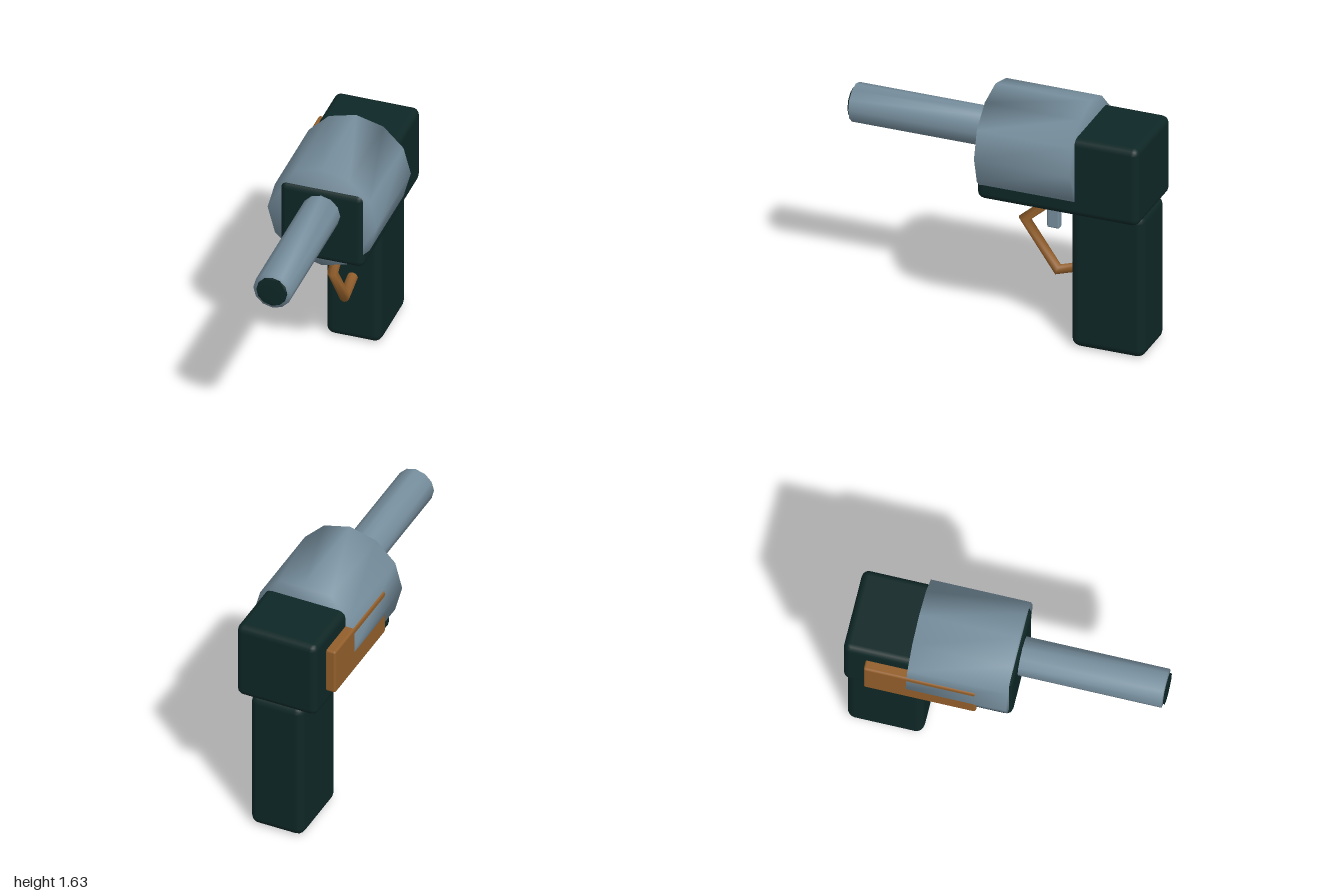
import * as THREE from 'three';
import { RoundedBoxGeometry } from 'three/addons/geometries/RoundedBoxGeometry.js';
import { mergeVertices } from 'three/addons/utils/BufferGeometryUtils.js';

const material = (name, color) => {
  const m = new THREE.MeshStandardMaterial({ color });
  m.name = name;
  return m;
};

// Share vertices so shading runs softly over every edge
function soften(geometry) {
  geometry.deleteAttribute('normal');
  geometry.deleteAttribute('uv');
  const merged = mergeVertices(geometry, 1e-4);
  merged.computeVertexNormals();
  return merged;
}

// Twelve-sided prism along z
function prism(radius, y, z0, z1) {
  const points = Array.from({ length: 12 }, (_, i) => {
    const a = (i / 12) * Math.PI * 2;
    return new THREE.Vector2(Math.cos(a) * radius, Math.sin(a) * radius);
  });
  const geometry = new THREE.ExtrudeGeometry(new THREE.Shape(points), {
    depth: z1 - z0, bevelEnabled: false,
  });
  return soften(geometry.translate(0, y, z0));
}

// Rounded box from its minimum and maximum corners
function block([x0, y0, z0], [x1, y1, z1], radius) {
  const geometry = new RoundedBoxGeometry(x1 - x0, y1 - y0, z1 - z0, 2, radius);
  return geometry.translate((x0 + x1) / 2, (y0 + y1) / 2, (z0 + z1) / 2);
}

// Round bar with mitred corners along a path of (z, y) points
function mitredBar(path, radius, halfWidth, sides = 8) {
  const pts = path.map(([z, y]) => new THREE.Vector2(z, y));
  const normals = pts.slice(1).map((p, i) => {
    const d = p.clone().sub(pts[i]).normalize();
    return new THREE.Vector2(-d.y, d.x);
  });
  const positions = [], index = [];
  pts.forEach((p, i) => {
    const a = normals[Math.max(i - 1, 0)];
    const b = normals[Math.min(i, normals.length - 1)];
    const miter = a.clone().add(b).normalize();
    miter.multiplyScalar(radius / miter.dot(a));
    for (let s = 0; s < sides; s++) {
      const t = (s / sides) * Math.PI * 2;
      positions.push(Math.cos(t) * halfWidth, p.y + miter.y * Math.sin(t), p.x + miter.x * Math.sin(t));
      if (i === 0) continue;
      const n = (s + 1) % sides;
      const r0 = (i - 1) * sides, r1 = i * sides;
      index.push(r0 + s, r1 + s, r0 + n, r0 + n, r1 + s, r1 + n);
    }
  });
  const geometry = new THREE.BufferGeometry();
  geometry.setAttribute('position', new THREE.Float32BufferAttribute(positions, 3));
  // Face outward: compare the first face with the direction away from the bar
  const v = (i) => new THREE.Vector3().fromArray(positions, i * 3);
  const face = new THREE.Triangle(v(index[0]), v(index[1]), v(index[2]));
  const away = face.getMidpoint(new THREE.Vector3())
    .sub(new THREE.Vector3(0, (pts[0].y + pts[1].y) / 2, (pts[0].x + pts[1].x) / 2));
  const along = new THREE.Vector3(0, pts[1].y - pts[0].y, pts[1].x - pts[0].x).normalize();
  away.addScaledVector(along, -away.dot(along));
  if (face.getNormal(new THREE.Vector3()).dot(away) < 0) index.reverse();
  geometry.setIndex(index);
  geometry.computeVertexNormals();
  return geometry;
}

export function createModel() {
  const dark = material('darkGreen', 0x0e2726);
  const steel = material('blueGrey', 0x768e9d);
  const brass = material('brown', 0x935f2b);
  const model = new THREE.Group();
  model.name = 'toyPistol';

  const add = (name, geometry, mat) => {
    const mesh = new THREE.Mesh(geometry, mat);
    mesh.name = name;
    model.add(mesh);
  };

  // Frame and handle
  add('body', block([-0.275, 0.96, -1], [0.275, 1.493, 0.075], 0.045), dark);
  add('grip', block([-0.182, 0, -1], [0.182, 0.985, -0.512], 0.055), dark);

  // Drum, barrel and its dark opening
  add('drum', prism(0.357, 1.278, -0.58, 0.055), steel);
  add('barrel', prism(0.125, 1.327, 0, 0.985), steel);
  add('muzzle', prism(0.1, 1.327, 0.991, 1), dark);

  // Trigger and bent guard
  add('trigger', block([-0.025, 0.715, -0.377], [0.025, 0.89, -0.295], 0.012), steel);
  add('triggerGuard', mitredBar([[-0.42, 0.985], [-0.14, 0.74], [-0.36, 0.423], [-0.56, 0.488]], 0.03, 0.035), brass);

  // Plate on the model's right side
  add('sidePlate', block([-0.338, 1.07, -0.853], [-0.265, 1.385, -0.14], 0.015), brass);

  return model;
}
